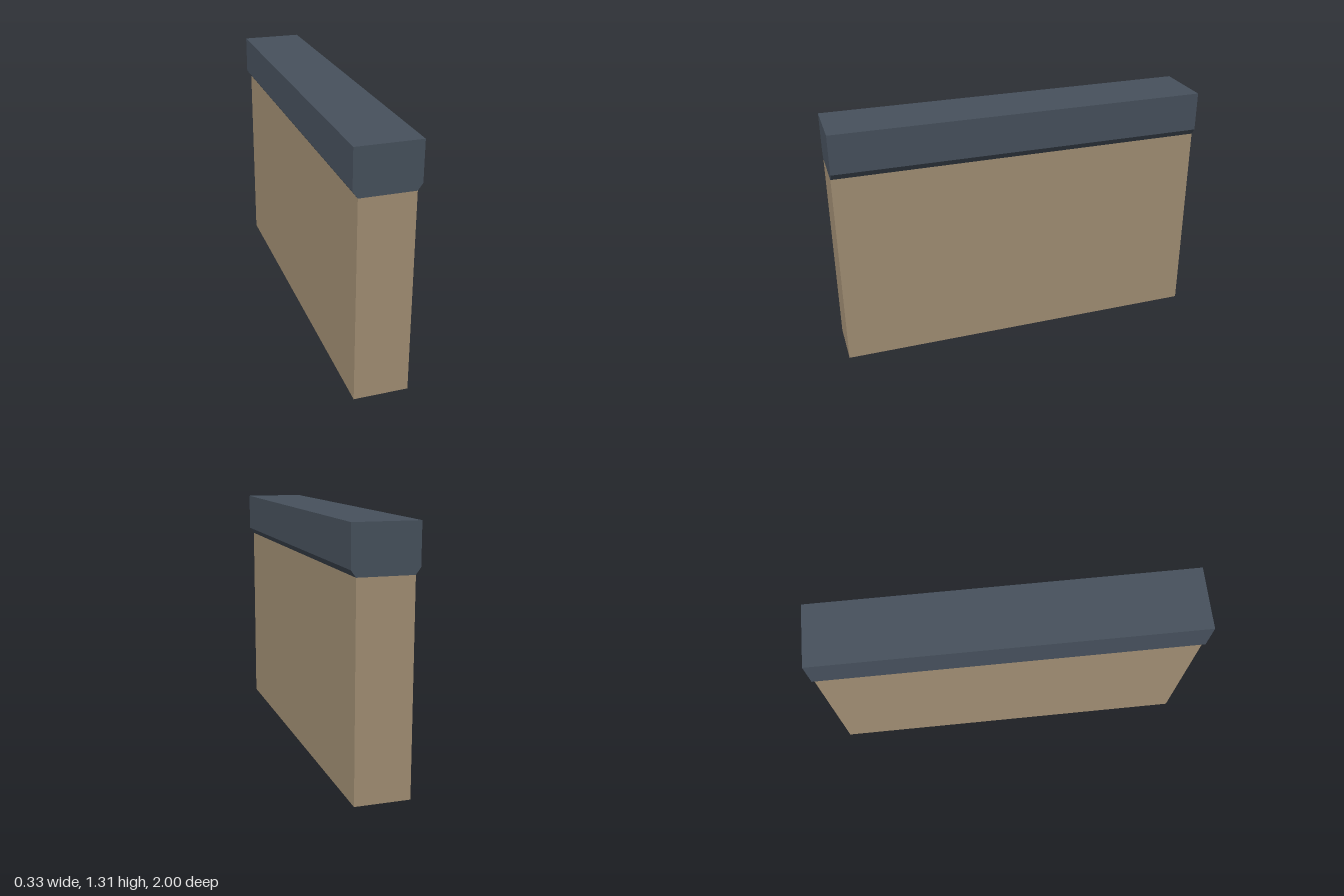
import * as THREE from 'three';

const LENGTH = 2;
const WALL_HALF = 0.141, WALL_TOP = 1.07;
const CAP_HALF = 0.166, CHAMFER_TOP = 1.104, CAP_TOP = 1.312;

function material(name, color) {
  const m = new THREE.MeshStandardMaterial({ color });
  m.name = name;
  return m;
}

// Extrudes an x-y cross-section along the whole length, centred on z
function extrudeProfile(name, points, mat) {
  const shape = new THREE.Shape(points.map(([x, y]) => new THREE.Vector2(x, y)));
  const geometry = new THREE.ExtrudeGeometry(shape, { depth: LENGTH, bevelEnabled: false });
  geometry.translate(0, 0, -LENGTH / 2);
  const mesh = new THREE.Mesh(geometry, mat);
  mesh.name = name;
  return mesh;
}

export function createModel() {
  const group = new THREE.Group();
  group.name = 'cappedWall';

  // Plain wall slab
  const wall = new THREE.Mesh(
    new THREE.BoxGeometry(WALL_HALF * 2, WALL_TOP, LENGTH),
    material('sandstone', 0xa28f74)
  );
  wall.name = 'wall';
  wall.position.y = WALL_TOP / 2;

  // Overhanging cap with chamfered lower edges
  const cap = extrudeProfile('cap', [
    [-WALL_HALF, WALL_TOP], [WALL_HALF, WALL_TOP],
    [CAP_HALF, CHAMFER_TOP], [CAP_HALF, CAP_TOP],
    [-CAP_HALF, CAP_TOP], [-CAP_HALF, CHAMFER_TOP],
  ], material('slate', 0x47515d));

  group.add(wall, cap);
  return group;
}
